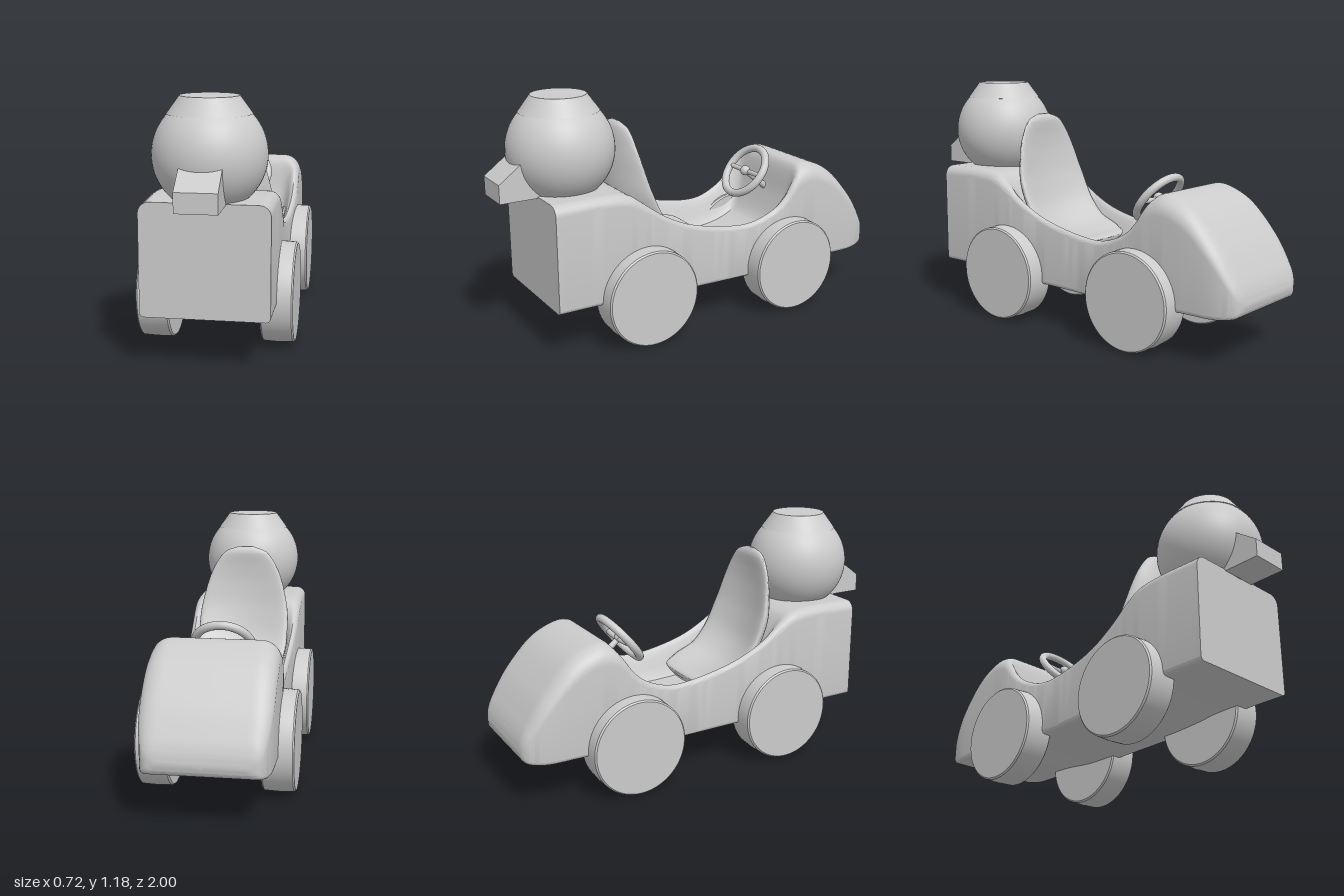
import * as THREE from 'three';
import { toCreasedNormals } from 'three/addons/utils/BufferGeometryUtils.js';

const material = new THREE.MeshStandardMaterial({ color: 0xcccccc, side: THREE.DoubleSide });

function part(name, geometry, parent) {
  const mesh = new THREE.Mesh(geometry, material);
  mesh.name = name;
  parent.add(mesh);
  return mesh;
}

// Smoothly interpolate a table of rows (six numbers each).
function rowSampler(rows) {
  const curve = (k) => new THREE.CatmullRomCurve3(
    rows.map((r) => new THREE.Vector3(r[k], r[k + 1], r[k + 2])), false, 'catmullrom', 0.5);
  const a = curve(0), b = curve(3);
  return (t) => [...a.getPoint(t).toArray(), ...b.getPoint(t).toArray()];
}

// Skin a list of closed rings, closing both ends at their centres.
function loft(rings, crease) {
  const n = rings[0].length;
  const cap = (ring) => {
    const c = ring.reduce((s, p) => s.add(p), new THREE.Vector3()).divideScalar(n);
    return ring.map(() => c);
  };
  const all = [cap(rings[0]), ...rings, cap(rings[rings.length - 1])];
  const index = [];
  for (let i = 0; i < all.length - 1; i++) {
    for (let j = 0; j < n; j++) {
      const a = i * n + j, b = i * n + (j + 1) % n;
      if (i > 0) index.push(a, b, a + n);
      else index.push(a, b + n, a + n);
      if (i > 0 && i < all.length - 2) index.push(b, b + n, a + n);
    }
  }
  const g = new THREE.BufferGeometry().setFromPoints(all.flat());
  g.setIndex(index);
  return toCreasedNormals(g, crease);
}

function bodyGeometry() {
  // z, top, bottom, half width, cockpit depth, top corner radius
  const sample = rowSampler([
    [0.82, 0.745, 0.235, 0.286, 0, 0.05], [0.6, 0.75, 0.235, 0.288, 0, 0.05],
    [0.46, 0.738, 0.23, 0.288, 0, 0.05], [0.38, 0.695, 0.22, 0.286, 0.03, 0.045],
    [0.25, 0.6, 0.21, 0.28, 0.2, 0.03], [0.1, 0.53, 0.205, 0.272, 0.18, 0.025],
    [-0.1, 0.485, 0.2, 0.268, 0.15, 0.025], [-0.25, 0.48, 0.2, 0.272, 0.14, 0.025],
    [-0.38, 0.53, 0.2, 0.283, 0.16, 0.03], [-0.45, 0.6, 0.205, 0.288, 0.18, 0.05],
    [-0.5, 0.685, 0.21, 0.29, 0.14, 0.08], [-0.54, 0.725, 0.215, 0.29, 0.01, 0.09],
    [-0.62, 0.735, 0.22, 0.29, 0, 0.09], [-0.75, 0.675, 0.222, 0.29, 0, 0.09],
    [-0.88, 0.535, 0.222, 0.285, 0, 0.08], [-0.96, 0.41, 0.232, 0.265, 0, 0.06],
    [-0.99, 0.345, 0.25, 0.24, 0, 0.035], [-1, 0.3, 0.28, 0.2, 0, 0.008],
  ]);
  const rings = [], N = 40, M = 120;
  for (let i = 0; i <= M; i++) {
    const [z, top, bottom, w, depth, r] = sample(i / M);
    const rb = Math.min(0.02, r);
    const round = (x, q) => q - Math.sqrt(Math.max(0, q * q - Math.max(0, Math.abs(x) - w + q) ** 2));
    const upper = [], lower = [];
    for (let j = 0; j <= N; j++) {
      const x = w * Math.sin((j / N - 0.5) * Math.PI);
      const dip = Math.max(0, depth) * THREE.MathUtils.smoothstep(w - Math.abs(x), 0.02, 0.1);
      upper.push(new THREE.Vector3(x, top - round(x, r) - dip, z));
      lower.unshift(new THREE.Vector3(x, bottom + round(x, rb), z));
    }
    rings.push([...upper, ...lower]);
  }
  return loft(rings, 0.7);
}

function seatGeometry() {
  // z, y, half width, wing depth, half thickness, unused
  const sample = rowSampler([
    [-0.05, 0.41, 0.1, 0.01, 0.006, 0], [-0.035, 0.41, 0.17, 0.02, 0.025, 0],
    [0.05, 0.4, 0.21, 0.05, 0.04, 0], [0.2, 0.43, 0.23, 0.07, 0.05, 0],
    [0.31, 0.53, 0.235, 0.08, 0.05, 0], [0.37, 0.68, 0.232, 0.07, 0.05, 0],
    [0.385, 0.82, 0.205, 0.05, 0.038, 0], [0.383, 0.92, 0.17, 0.03, 0.03, 0],
    [0.375, 1.0, 0.115, 0.012, 0.024, 0], [0.37, 1.03, 0.04, 0, 0.006, 0],
  ]);
  const rings = [], N = 40, M = 60;
  for (let i = 0; i <= M; i++) {
    const t = i / M;
    const [z, y, w, wing, thick] = sample(t);
    const p = sample(Math.max(0, t - 0.01)), q = sample(Math.min(1, t + 0.01));
    const len = Math.hypot(q[0] - p[0], q[1] - p[1]);
    const tz = (q[0] - p[0]) / len, ty = (q[1] - p[1]) / len;
    rings.push(Array.from({ length: N }, (_, j) => {
      const a = (j / N) * Math.PI * 2, c = Math.cos(a);
      const n = thick * Math.sin(a) + wing * c * c;
      return new THREE.Vector3(w * c, y + tz * n, z - ty * n);
    }));
  }
  return loft(rings, 1.2);
}

function lathe(profile, segments = 64) {
  return toCreasedNormals(
    new THREE.LatheGeometry(profile.map(([x, y]) => new THREE.Vector2(x, y)), segments), 0.4);
}

export function createModel() {
  const model = new THREE.Group();
  model.name = 'toyCar';

  part('body', bodyGeometry(), model);
  part('seat', seatGeometry(), model);

  // Wheels: solid discs with softened rims
  const wheel = lathe([[0, -0.075], [0.228, -0.075], [0.235, -0.068], [0.238, 0],
    [0.235, 0.068], [0.228, 0.075], [0, 0.075]]);
  wheel.rotateZ(Math.PI / 2);
  for (const [end, z] of [['front', 0.367], ['rear', -0.459]]) {
    for (const [side, s] of [['Left', 1], ['Right', -1]]) {
      part(`${end}${side}Wheel`, wheel, model).position.set(s * 0.285, 0.241, z);
    }
  }

  // Figurehead: ball with a flat-topped cap and a wedge beak
  const head = new THREE.Group();
  head.name = 'figurehead';
  model.add(head);
  const ball = part('head', new THREE.SphereGeometry(0.253, 64, 40), head);
  ball.position.set(0, 0.932, 0.66);
  part('cap', lathe([[0, 1.09], [0.187, 1.107], [0.13, 1.185], [0, 1.185]]), head).position.z = 0.66;
  const beakShape = new THREE.Shape([[-1, 0.738], [-1, 0.826], [-0.89, 0.908], [-0.8, 0.908],
    [-0.8, 0.738]].reverse().map(([x, y]) => new THREE.Vector2(x, y)));
  const beak = new THREE.ExtrudeGeometry(beakShape, { depth: 0.184, bevelEnabled: false });
  beak.translate(0, 0, -0.092).rotateY(Math.PI / 2);
  part('beak', beak, head);

  // Steering wheel, tilted towards the seat
  const steering = new THREE.Group();
  steering.name = 'steeringWheel';
  steering.position.set(0, 0.668, -0.385);
  steering.rotation.x = -0.67;
  model.add(steering);
  part('rim', new THREE.TorusGeometry(0.134, 0.02, 16, 48), steering);
  part('hub', new THREE.SphereGeometry(0.026, 24, 16), steering);
  for (const s of [-1, 1]) {
    const spoke = new THREE.QuadraticBezierCurve3(new THREE.Vector3(0, 0, -0.01),
      new THREE.Vector3(s * 0.07, 0.005, -0.01), new THREE.Vector3(s * 0.134, 0, 0));
    part('spoke', new THREE.TubeGeometry(spoke, 12, 0.013, 12), steering);
  }
  const column = new THREE.CylinderGeometry(0.014, 0.018, 0.2, 20);
  column.rotateX(Math.PI / 2).translate(0, 0, -0.1);
  part('column', column, steering);

  return model;
}
